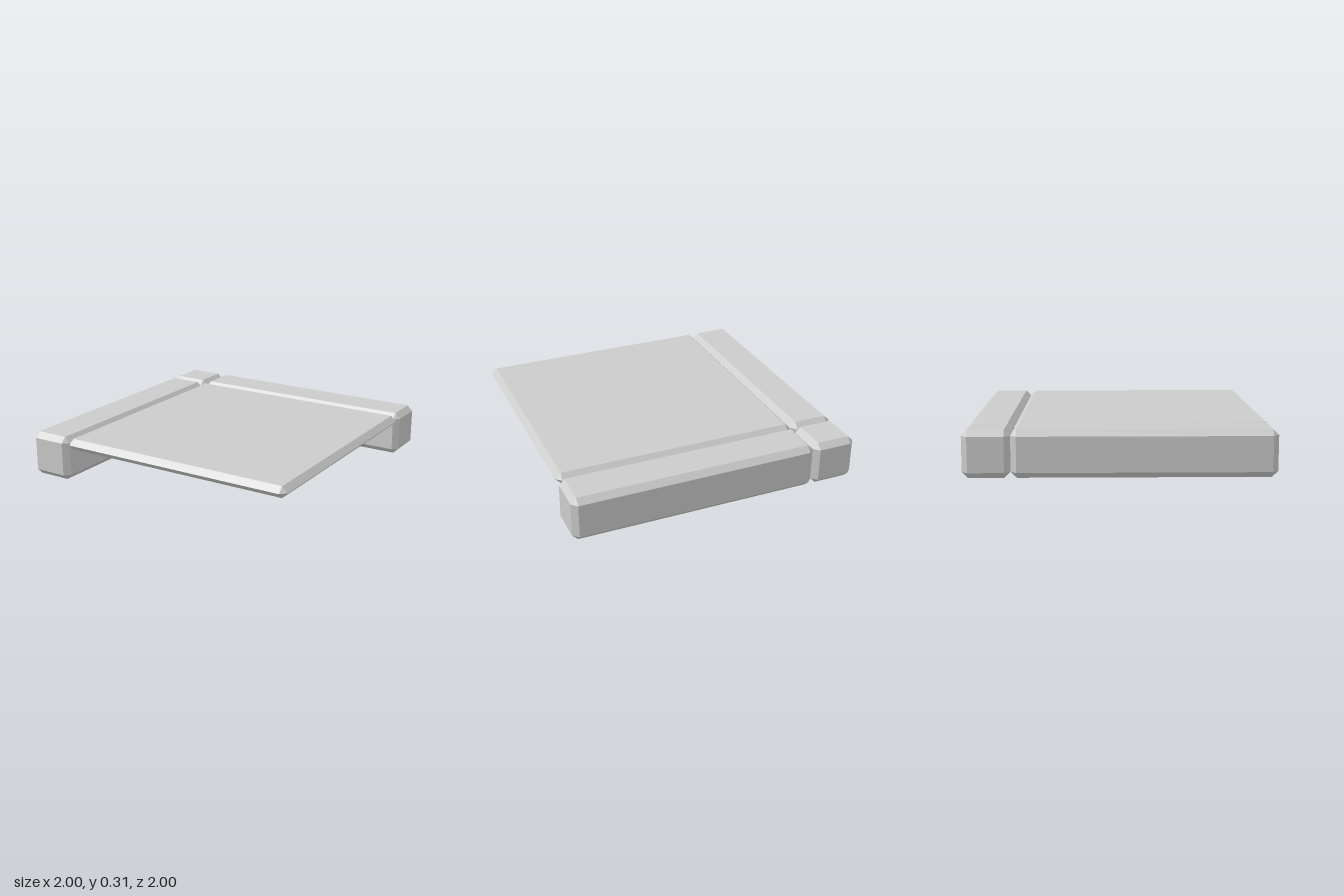
import * as THREE from 'three';
import { ConvexGeometry } from 'three/addons/geometries/ConvexGeometry.js';

const U = 2 / 52;          // bevel width, the unit of the whole design
const RAIL = 8 * U;        // rail width and height
const SPLIT = -1 + RAIL;   // seam between rails and panel

// Box between two corners with every edge bevelled by U
function bevelledBox(name, [x0, y0, z0], [x1, y1, z1], material) {
  const h = [(x1 - x0) / 2, (y1 - y0) / 2, (z1 - z0) / 2];
  const points = [];
  for (const sx of [-1, 1]) for (const sy of [-1, 1]) for (const sz of [-1, 1]) {
    // Three points per corner, each on one of the meeting faces
    for (let face = 0; face < 3; face++) {
      const [x, y, z] = h.map((v, i) => (i === face ? v : Math.max(v - U, 0)));
      points.push(new THREE.Vector3(sx * x, sy * y, sz * z));
    }
  }
  const mesh = new THREE.Mesh(new ConvexGeometry(points), material);
  mesh.name = name;
  mesh.position.set((x0 + x1) / 2, (y0 + y1) / 2, (z0 + z1) / 2);
  return mesh;
}

export function createModel() {
  const group = new THREE.Group();
  group.name = 'corneredPanel';
  const grey = new THREE.MeshStandardMaterial({ color: 0xcccccc, flatShading: true });

  group.add(
    // Block where the two rails meet
    bevelledBox('cornerBlock', [-1, 0, -1], [SPLIT, RAIL, SPLIT], grey),
    // Full-height rails along the back and the right side
    bevelledBox('backRail', [SPLIT, 0, -1], [1, RAIL, SPLIT], grey),
    bevelledBox('rightRail', [-1, 0, SPLIT], [SPLIT, RAIL, 1], grey),
    // Thin top panel, its bevels meeting in a sharp rim
    bevelledBox('topPanel', [SPLIT, RAIL - 2 * U, SPLIT], [1, RAIL, 1], grey),
  );
  return group;
}
